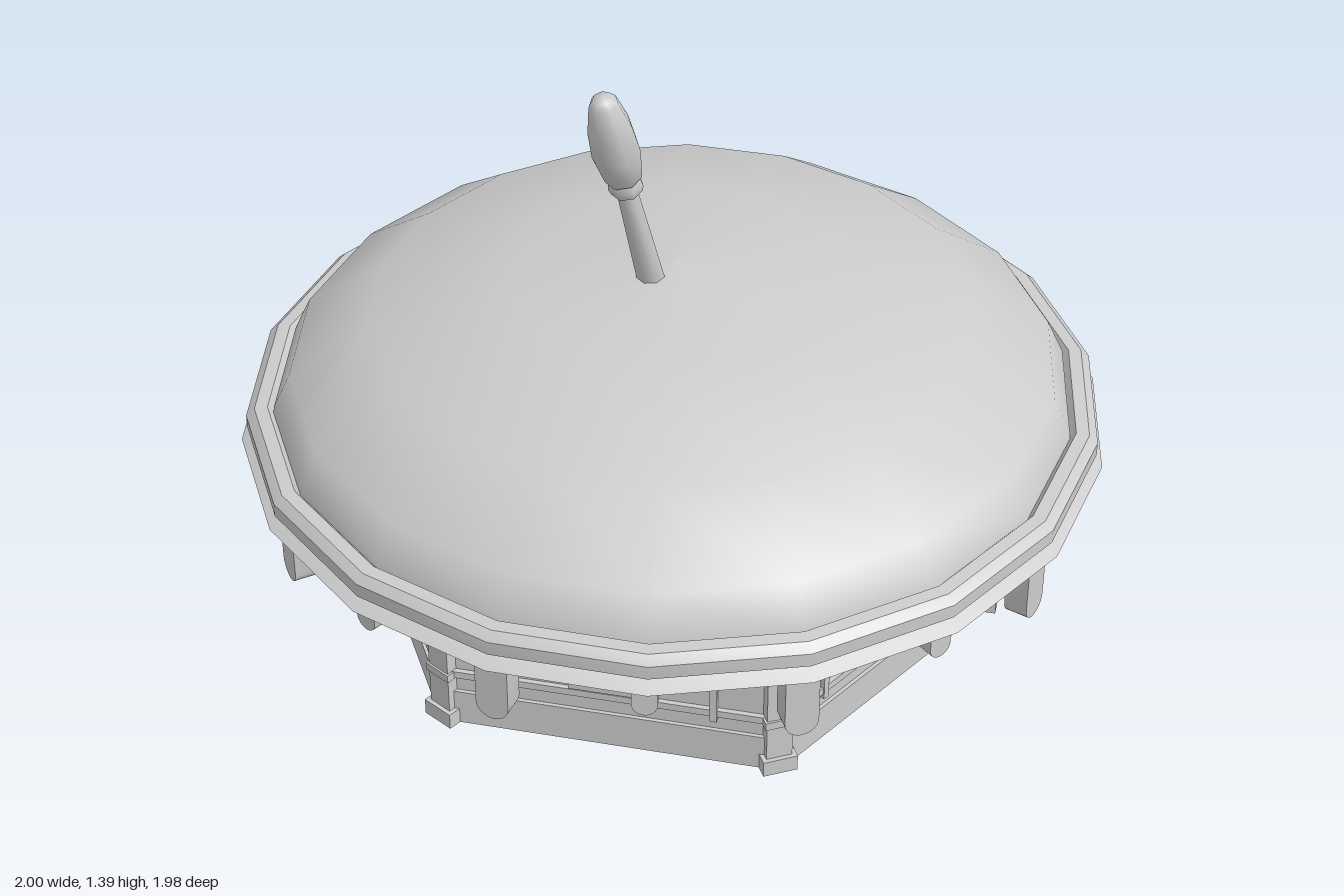
import * as THREE from 'three';
import { toCreasedNormals } from 'three/addons/utils/BufferGeometryUtils.js';

const RAD = Math.PI / 180;
const R = 0.755;                 // hexagon corner radius
const APOTHEM = R * Math.cos(30 * RAD);
const WALL_H = 0.45;
const FIRST = -7.4;              // bearing of the first corner, from +z

export function createModel() {
  const root = new THREE.Group();
  root.name = 'roundHut';
  const clay = new THREE.MeshStandardMaterial({ color: 0xcccccc, side: THREE.DoubleSide });
  clay.name = 'pale grey';

  const add = (parent, name, geo, x = 0, y = 0, z = 0) => {
    const m = new THREE.Mesh(geo, clay);
    m.name = name;
    m.position.set(x, y, z);
    parent.add(m);
    return m;
  };
  const box = (parent, name, w, h, d, x, y, z) => add(parent, name, new THREE.BoxGeometry(w, h, d), x, y, z);
  const extrude = (shape, depth) => new THREE.ExtrudeGeometry(shape, { depth, bevelEnabled: false, curveSegments: 8 });
  const bearing = (name, deg) => {
    const g = new THREE.Group();
    g.name = name;
    g.rotation.y = deg * RAD;
    root.add(g);
    return g;
  };
  const lathe = (pts, n, start = 0) =>
    new THREE.LatheGeometry(pts.map(p => new THREE.Vector2(...p)), n, start, Math.PI * 2);

  // Roof dome, and the rolled rim with its soffit
  add(root, 'roofDome', lathe([[0.925, 0.5], [0.92, 0.535], [0.88, 0.62], [0.695, 0.745], [0.375, 0.835], [0, 0.86]], 18, 172 * RAD));
  add(root, 'roofRim', toCreasedNormals(lathe([[0.64, 0.447], [0.96, 0.45], [1.0, 0.449], [0.965, 0.468],
    [0.985, 0.482], [0.985, 0.515], [0.965, 0.533], [0.935, 0.535], [0.92, 0.515]], 18, 172 * RAD), 0.5));

  // Rounded drips hanging from the rim, alternately long and short
  const bottoms = [0.27, 0.36, 0.27, 0.36, 0.235, 0.37, 0.27, 0.37, 0.23, 0.36, 0.27, 0.37, 0.26, 0.36, 0.29, 0.37, 0.28, 0.36];
  bottoms.forEach((bottom, i) => {
    const g = bearing('drip', -8.5 + i * 20);
    const r = i % 2 ? 0.028 : 0.038;
    const s = new THREE.Shape();
    s.moveTo(r, 0.47);
    s.lineTo(-r, 0.47);
    s.lineTo(-r, bottom + r);
    s.absarc(0, bottom + r, r, Math.PI, 2 * Math.PI, false);
    add(g, 'dripTab', toCreasedNormals(extrude(s, 0.055), 0.6), 0, 0, 0.905);
  });

  // Leaning dipper on the roof
  const dipper = add(root, 'roofDipper', toCreasedNormals(lathe([[0, 0], [0.033, 0], [0.024, 0.3], [0.036, 0.3], [0.04, 0.315],
    [0.036, 0.335], [0.042, 0.34], [0.055, 0.42], [0.05, 0.49], [0.033, 0.56], [0.022, 0.575], [0, 0.58]], 7), 0.95), -0.06, 0.83, 0.02);
  dipper.quaternion.setFromUnitVectors(new THREE.Vector3(0, 1, 0), new THREE.Vector3(-0.145, 0.55, 0.065).normalize());

  // Corner posts
  for (let i = 0; i < 6; i++) {
    const g = bearing('cornerPost', FIRST + i * 60);
    box(g, 'shaft', 0.06, WALL_H, 0.045, 0, WALL_H / 2, R);
    box(g, 'foot', 0.08, 0.04, 0.065, 0, 0.02, R);
    box(g, 'band', 0.07, 0.02, 0.055, 0, 0.14, R);
    box(g, 'capital', 0.08, 0.03, 0.065, 0, 0.425, R);
  }

  // Windows
  const face = APOTHEM + 0.012;
  const heart = s => {
    const h = new THREE.Shape();
    h.moveTo(0, -0.09 * s);
    h.bezierCurveTo(-0.04 * s, -0.055 * s, -0.068 * s, -0.02 * s, -0.068 * s, 0.03 * s);
    h.bezierCurveTo(-0.068 * s, 0.09 * s, -0.01 * s, 0.095 * s, 0, 0.05 * s);
    h.bezierCurveTo(0.01 * s, 0.095 * s, 0.068 * s, 0.09 * s, 0.068 * s, 0.03 * s);
    h.bezierCurveTo(0.068 * s, -0.02 * s, 0.04 * s, -0.055 * s, 0, -0.09 * s);
    return h;
  };
  const heartWindow = g => {
    const frame = heart(1);
    frame.holes.push(heart(0.9));
    add(g, 'heartFrame', extrude(frame, 0.014), 0, 0.262, face);
    add(g, 'heartPane', extrude(heart(0.92), 0.005), 0, 0.262, face);
    box(g, 'windowSill', 0.17, 0.013, 0.03, 0, 0.173, face + 0.012);
  };
  const roundWindow = g => {
    add(g, 'windowRing', new THREE.TorusGeometry(0.082, 0.011, 6, 20), 0, 0.26, face + 0.006);
    box(g, 'windowBarUpright', 0.01, 0.16, 0.012, 0, 0.26, face + 0.005);
    box(g, 'windowBarLevel', 0.16, 0.01, 0.012, 0, 0.26, face + 0.005);
    box(g, 'windowSill', 0.17, 0.014, 0.035, 0, 0.168, face + 0.015);
    box(g, 'sillBracket', 0.13, 0.02, 0.018, 0, 0.125, face + 0.008);
  };

  // Walls: one round or heart window each, and a doorway at the back
  const half = R / 2, doorR = 0.15, spring = 0.24;
  const arch = (s, r) => {
    s.lineTo(r, 0);
    s.lineTo(r, spring);
    s.absarc(0, spring, r, 0, Math.PI, false);
    s.lineTo(-r, 0);
  };
  for (let i = 0; i < 6; i++) {
    const isDoor = i === 3;
    const g = bearing(isDoor ? 'doorWall' : 'wall', FIRST + 30 + i * 60);
    const s = new THREE.Shape();
    s.moveTo(half, 0);
    s.lineTo(half, WALL_H);
    s.lineTo(-half, WALL_H);
    s.lineTo(-half, 0);
    if (isDoor) {
      s.lineTo(-doorR, 0);
      s.lineTo(-doorR, spring);
      s.absarc(0, spring, doorR, Math.PI, 0, true);
      s.lineTo(doorR, 0);
    }
    add(g, 'wallPanel', extrude(s, 0.024), 0, 0, APOTHEM - 0.012);
    box(g, 'topRail', R, 0.02, 0.012, 0, 0.435, face + 0.004);
    if (isDoor) {
      buildDoor(g);
      continue;
    }
    box(g, 'skirting', R, 0.09, 0.012, 0, 0.045, face + 0.003);
    box(g, 'wallRail', R, 0.018, 0.014, 0, 0.142, face + 0.005);
    for (const side of [-1, 1]) box(g, 'batten', 0.016, 0.31, 0.018, side * 0.24, 0.275, face + 0.006);
    if (i === 1 || i === 5) heartWindow(g); else roundWindow(g);
  }

  function buildDoor(g) {
    // Arched frame
    const f = new THREE.Shape();
    f.moveTo(doorR, 0);
    arch(f, doorR + 0.022);
    f.lineTo(-doorR, 0);
    f.lineTo(-doorR, spring);
    f.absarc(0, spring, doorR, Math.PI, 0, true);
    f.lineTo(doorR, 0);
    add(g, 'doorFrame', extrude(f, 0.045), 0, 0, APOTHEM - 0.02);

    for (const side of [-1, 1]) {
      // Door leaf swung outwards
      const l = new THREE.Shape();
      l.moveTo(0, 0.012);
      l.lineTo(doorR - 0.005, 0.012);
      l.lineTo(doorR - 0.005, spring + doorR - 0.005);
      l.absarc(doorR - 0.005, spring, doorR - 0.005, Math.PI / 2, Math.PI, false);
      const leaf = add(g, 'doorLeaf', extrude(l, 0.016), side * (doorR + 0.005) + 0.008, 0, face);
      leaf.rotation.y = -Math.PI / 2;
      // Low rails on both sides of the doorway
      const w = half - doorR - 0.03;
      box(g, 'skirting', w, 0.09, 0.012, side * (half - w / 2), 0.045, face + 0.003);
      box(g, 'wallRail', w, 0.018, 0.014, side * (half - w / 2), 0.142, face + 0.005);
      // Potted plant
      const px = side * 0.27, pz = face + 0.1;
      add(g, 'flowerPot', toCreasedNormals(lathe([[0, 0.005], [0.02, 0.005], [0.029, 0.05], [0.034, 0.05],
        [0.034, 0.064], [0.027, 0.064], [0, 0.055]], 10), 0.7), px, 0, pz);
      for (let k = 0; k < 5; k++) {
        const a = k * 2.4;
        const b = add(g, 'plantLeaf', new THREE.SphereGeometry(0.013, 6, 4), px + 0.02 * Math.cos(a), 0.075 + 0.009 * k, pz + 0.02 * Math.sin(a));
        b.scale.y = 0.6;
      }
    }
    // Climbing leaves on the wall
    for (let k = 0; k < 8; k++) {
      const b = add(g, 'vineLeaf', new THREE.SphereGeometry(0.016, 6, 4), 0.27 + 0.04 * Math.sin(k * 2), 0.2 + k * 0.028, face + 0.01);
      b.scale.z = 0.6;
    }
    // Doorstep and paving stones
    box(g, 'doorstep', 0.29, 0.012, 0.12, 0, 0.006, face + 0.06);
    for (let row = 0; row < 3; row++) for (let c = 0; c < 7; c++) {
      const k = row * 7 + c;
      const stone = add(g, 'pavingStone', new THREE.CylinderGeometry(0.03, 0.034, 0.01, 7),
        (c - 3) * 0.064 + (row % 2) * 0.02, 0.005, face + 0.145 + row * 0.055);
      stone.scale.x = 0.9 + 0.15 * Math.sin(k * 5);
      stone.rotation.y = k * 0.7;
    }
  }
  return root;
}
